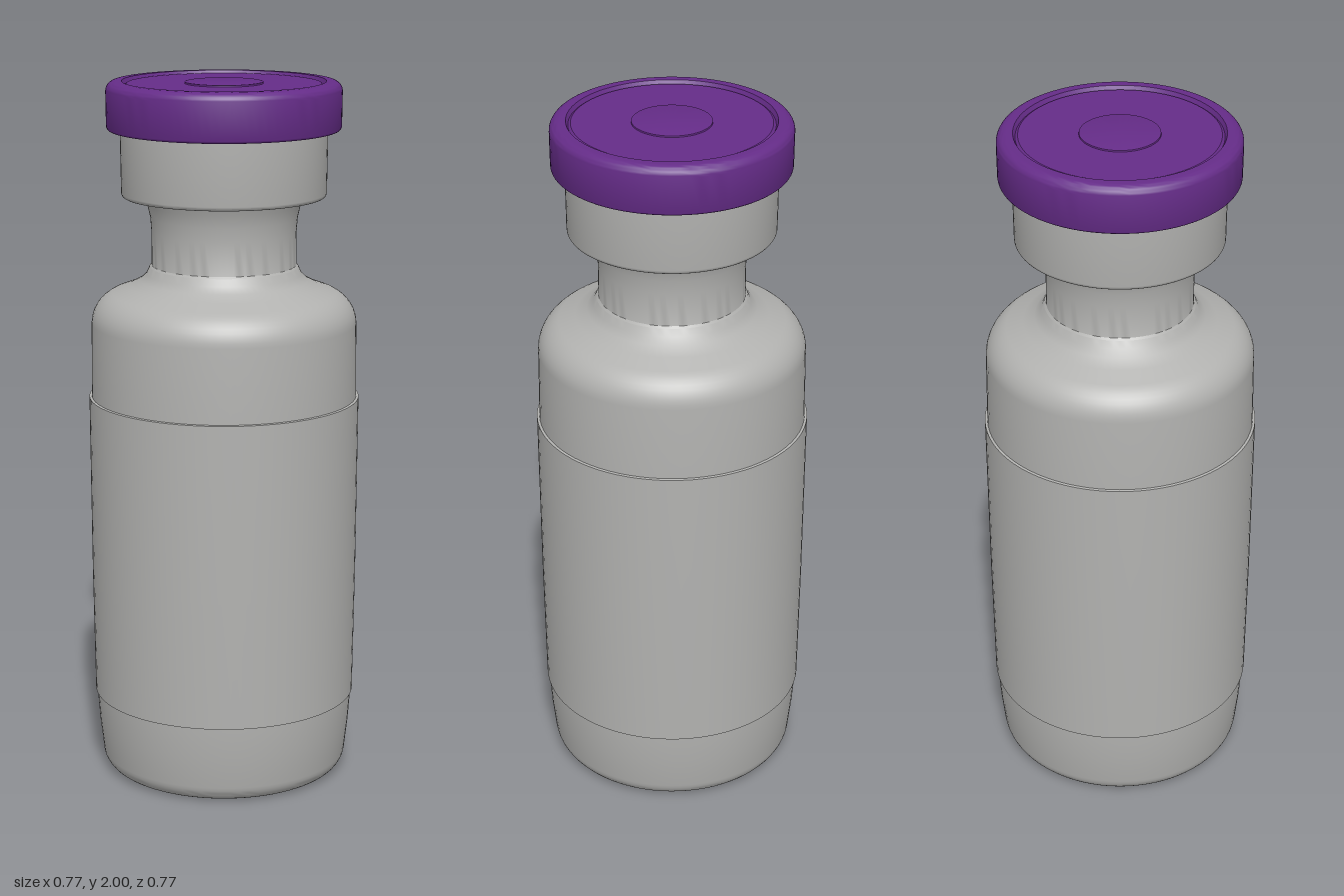
import * as THREE from 'three';
import { toCreasedNormals } from 'three/addons/utils/BufferGeometryUtils.js';

const glass = new THREE.MeshStandardMaterial({ color: 0xb2b2b0 });
glass.name = 'pale grey';
const plastic = new THREE.MeshStandardMaterial({ color: 0x652c88 });
plastic.name = 'purple';

// Revolves a [radius, height] profile, listed from bottom to top
function turned(name, material, profile) {
  const points = profile.map(([r, y]) => new THREE.Vector2(r, y));
  const geometry = toCreasedNormals(new THREE.LatheGeometry(points, 80), 0.6);
  const mesh = new THREE.Mesh(geometry, material);
  mesh.name = name;
  return mesh;
}

// Points along a rounded corner, as a quarter ellipse between two angles in degrees
function arc(cx, cy, rx, ry, from, to, steps = 8) {
  return Array.from({ length: steps + 1 }, (_, i) => {
    const a = THREE.MathUtils.degToRad(from + ((to - from) * i) / steps);
    return [cx + rx * Math.cos(a), cy + ry * Math.sin(a)];
  });
}

export function createModel() {
  const vial = new THREE.Group();
  vial.name = 'vial';

  // Base, straight wall, rounded shoulder and waisted neck
  vial.add(turned('bottle', glass, [
    [0, 0.012], [0.26, 0.01], [0.285, 0],
    ...arc(0.305, 0.055, 0.05, 0.055, -90, -8),
    [0.365, 0.14], [0.371, 0.22], [0.375, 0.6], [0.377, 1.1],
    ...arc(0.275, 1.32, 0.1, 0.095, 0, 65),
    [0.27, 1.424], [0.237, 1.442], [0.219, 1.46], [0.21, 1.48],
    [0.204, 1.485], [0.204, 1.58], [0.207, 1.62], [0.215, 1.655], [0.23, 1.69],
  ]));

  // Thin band wrapped around the wall
  vial.add(turned('label', glass, [
    [0.37, 0.23], [0.376, 0.232], [0.381, 0.6], [0.384, 1.1], [0.384, 1.108], [0.374, 1.11],
  ]));

  // Crimped collar under the cap
  vial.add(turned('collar', glass, [
    [0.2, 1.685], [0.24, 1.678], [0.27, 1.678],
    ...arc(0.277, 1.69, 0.011, 0.012, -90, 0, 4),
    [0.29, 1.87],
  ]));

  // Flip-off cap with a shallow ring groove
  vial.add(turned('cap', plastic, [
    [0.27, 1.87], [0.31, 1.865],
    ...arc(0.318, 1.877, 0.01, 0.012, -90, 0, 4),
    ...arc(0.302, 1.973, 0.027, 0.027, 0, 90),
    [0.284, 2], [0.278, 1.988], [0.271, 1.993], [0, 1.993],
  ]));

  // Raised button in the middle of the cap
  vial.add(turned('capButton', plastic, [
    [0.11, 1.99], [0.109, 1.997], [0.105, 1.998], [0, 1.998],
  ]));

  return vial;
}
